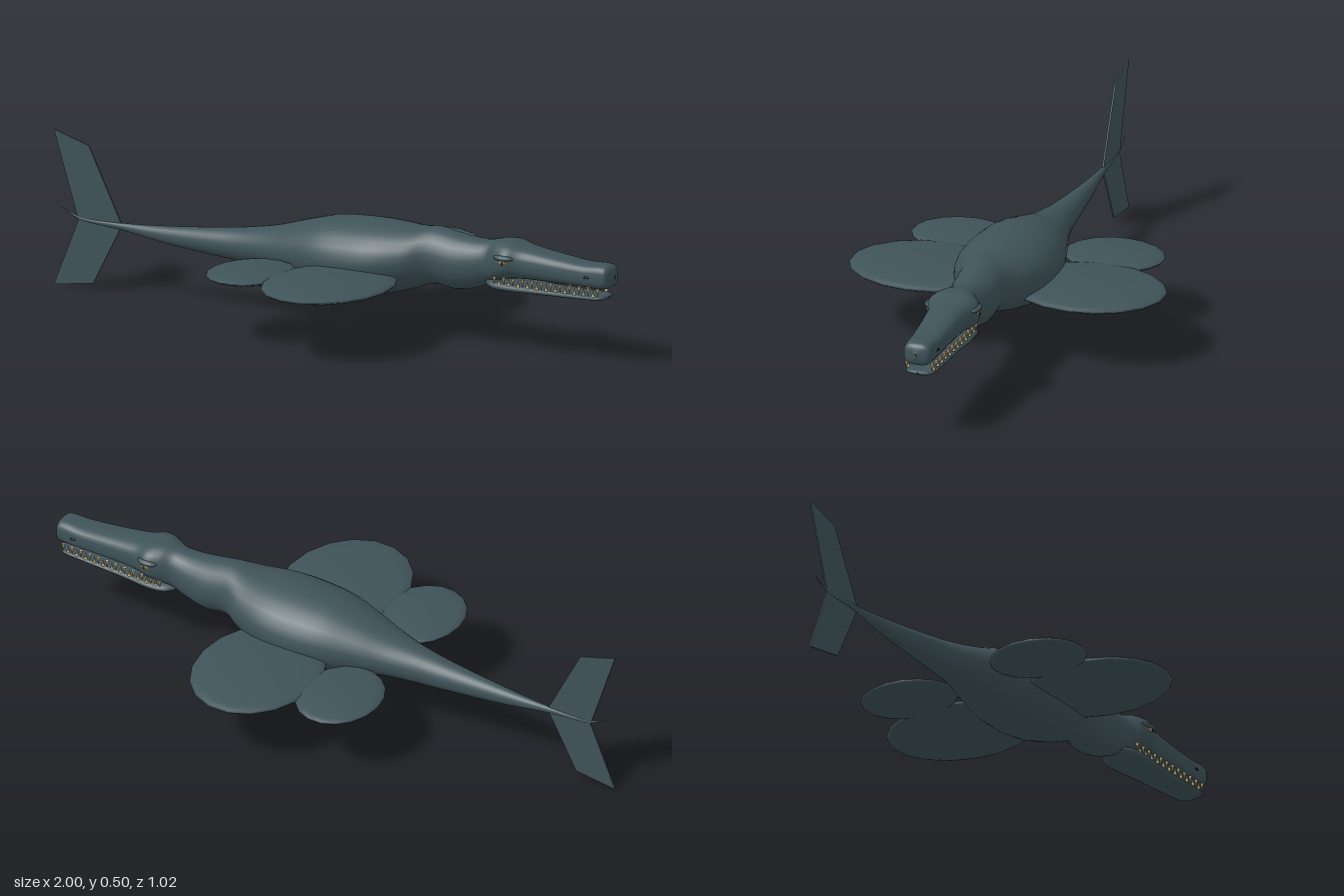
import * as THREE from 'three';

const mat = (name, color, extra = {}) => {
  const m = new THREE.MeshStandardMaterial({ color, ...extra });
  m.name = name;
  return m;
};

// Smooth loft along x. Rows: [x, top y, bottom y, half width, squareness]
function loft(rows, steps, sides) {
  const heights = new THREE.CatmullRomCurve3(rows.map(r => new THREE.Vector3(r[0], r[1], r[2])), false, 'catmullrom', 0.5);
  const widths = new THREE.CatmullRomCurve3(rows.map(r => new THREE.Vector3(r[0], r[3], r[4])), false, 'catmullrom', 0.5);
  const pos = [], index = [];
  const power = (v, n) => Math.sign(v) * Math.pow(Math.abs(v), 2 / n);
  for (let i = 0; i <= steps; i++) {
    const h = heights.getPoint(i / steps), w = widths.getPoint(i / steps);
    const mid = (h.y + h.z) / 2, half = Math.max((h.y - h.z) / 2, 0.0005);
    for (let j = 0; j < sides; j++) {
      const a = (j / sides) * Math.PI * 2;
      pos.push(h.x, mid + half * power(Math.cos(a), w.z), Math.max(w.y, 0.0005) * power(Math.sin(a), w.z));
      if (i < steps) {
        const k = (j + 1) % sides, p = i * sides + j, q = i * sides + k;
        index.push(p, q, p + sides, q, q + sides, p + sides);
      }
    }
  }
  const g = new THREE.BufferGeometry();
  g.setAttribute('position', new THREE.Float32BufferAttribute(pos, 3));
  g.setIndex(index);
  g.computeVertexNormals();
  return g;
}

export function createModel() {
  const group = new THREE.Group();
  const skin = mat('slate skin', 0x3f5358);
  const finSkin = mat('fin skin', 0x3f5358, { side: THREE.DoubleSide });
  const ivory = mat('ivory teeth', 0xc9b183);
  const amber = mat('amber eye', 0x9a7434);
  const black = mat('black', 0x101416);

  const add = (name, geometry, material, x = 0, y = 0, z = 0) => {
    const m = new THREE.Mesh(geometry, material);
    m.name = name;
    m.position.set(x, y, z);
    group.add(m);
    return m;
  };

  // Tail, torso, neck, skull and upper jaw in one skin
  add('body', loft([
    [-0.97, 0.256, 0.254, 0.002, 2],
    [-0.9, 0.232, 0.222, 0.004, 2],
    [-0.76, 0.232, 0.21, 0.009, 2],
    [-0.6, 0.243, 0.188, 0.024, 2],
    [-0.4, 0.265, 0.172, 0.045, 2],
    [-0.3, 0.28, 0.168, 0.06, 2],
    [-0.2, 0.3, 0.165, 0.085, 2],
    [-0.1, 0.33, 0.15, 0.116, 2],
    [0, 0.356, 0.132, 0.144, 2],
    [0.1, 0.365, 0.126, 0.155, 2],
    [0.2, 0.367, 0.136, 0.15, 2],
    [0.3, 0.363, 0.166, 0.118, 2],
    [0.37, 0.37, 0.188, 0.082, 2],
    [0.45, 0.358, 0.18, 0.077, 2],
    [0.52, 0.351, 0.196, 0.066, 2.1],
    [0.57, 0.355, 0.218, 0.06, 2.2],
    [0.61, 0.364, 0.232, 0.077, 2.3],
    [0.65, 0.362, 0.243, 0.086, 2.4],
    [0.7, 0.35, 0.248, 0.066, 2.6],
    [0.8, 0.336, 0.25, 0.056, 2.8],
    [0.9, 0.326, 0.25, 0.05, 3],
    [0.965, 0.328, 0.249, 0.046, 3],
    [0.99, 0.32, 0.258, 0.039, 3],
    [1, 0.295, 0.282, 0.003, 2.5],
  ], 130, 28), skin);

  // Lower jaw
  add('lowerJaw', loft([
    [0.55, 0.235, 0.222, 0.03, 2],
    [0.59, 0.24, 0.206, 0.062, 2.4],
    [0.65, 0.237, 0.204, 0.068, 2.4],
    [0.75, 0.232, 0.206, 0.056, 2.5],
    [0.9, 0.23, 0.211, 0.049, 2.5],
    [0.965, 0.23, 0.214, 0.042, 2.5],
    [0.98, 0.226, 0.219, 0.003, 2],
  ], 36, 20), skin);

  // Upright tail fluke
  const shape = new THREE.Shape([
    [-1, 0.503], [-0.912, 0.222], [-1, 0.005], [-0.86, 0.025], [-0.757, 0.224], [-0.875, 0.465],
  ].map(p => new THREE.Vector2(...p)));
  const fluke = new THREE.ExtrudeGeometry(shape, { depth: 0.005, bevelEnabled: false });
  add('tailFluke', fluke, finSkin, 0, 0, -0.0025);

  const toothShape = new THREE.ConeGeometry(0.006, 0.026, 6);
  const disc = new THREE.SphereGeometry(1, 18, 14);
  const ball = new THREE.SphereGeometry(1, 12, 8);
  for (const s of [1, -1]) {
    const side = s > 0 ? 'left' : 'right';

    // Paddle flippers
    add(side + 'FrontFlipper', disc, skin, 0.13, 0.213, s * 0.265).scale.set(0.2, 0.025, 0.25);
    add(side + 'RearFlipper', disc, skin, -0.157, 0.21, s * 0.25).scale.set(0.133, 0.02, 0.162);

    // Eyes with brow ridge and pupil
    add(side + 'Eye', ball, amber, 0.645, 0.306, s * 0.08).scale.set(0.014, 0.009, 0.009);
    add(side + 'Pupil', ball, black, 0.647, 0.306, s * 0.0865).scale.set(0.005, 0.006, 0.004);
    add(side + 'Brow', ball, skin, 0.643, 0.32, s * 0.073).scale.set(0.035, 0.01, 0.018);

    // Nostrils
    add(side + 'Nostril', ball, black, 0.925, 0.288, s * 0.0485).scale.set(0.01, 0.004, 0.003);

    // Interlocking teeth
    for (let i = 0; i < 12; i++) {
      const x = 0.605 + i * 0.0325;
      const z = s * (0.061 - 0.019 * (i / 11));
      add(side + 'UpperTooth', toothShape, ivory, x, 0.241, z).rotation.x = Math.PI;
      if (i < 11) add(side + 'LowerTooth', toothShape, ivory, x + 0.016, 0.241, z - s * 0.002);
    }
  }
  return group;
}
